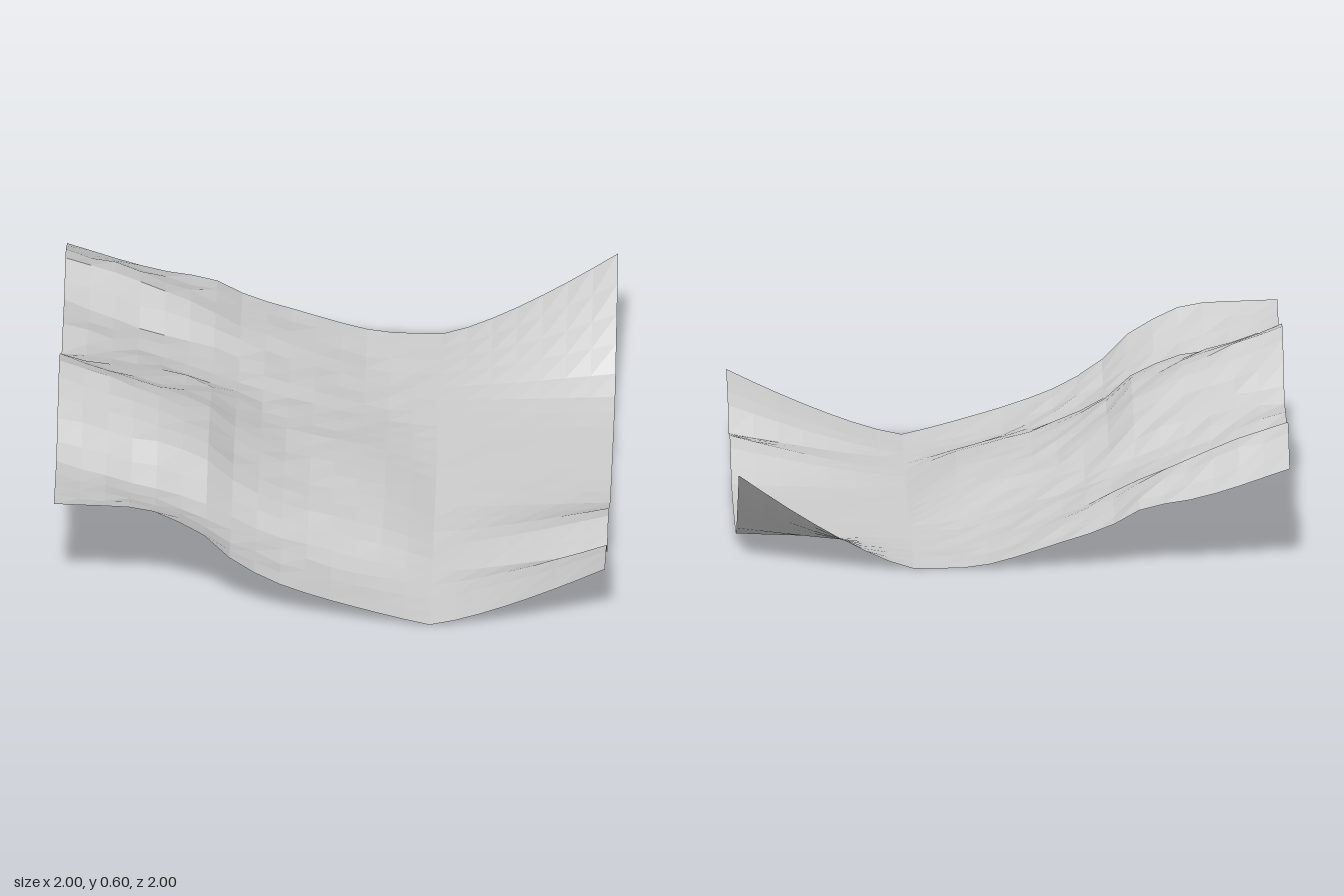
import * as THREE from 'three';

const FLOOR = 0.012, FOOT = 0.36;

// Cross-sections: hillside heights at each x station, and the right rim height
const xs = [-1, -0.7, -0.45, -0.36, -0.15, 0.18, FOOT];
const sections = [
  { z: -1.0, hill: [0.38, 0.28, 0.225, 0.175, 0.1, 0.015], rim: 0.365 },
  { z: -0.73, hill: [0.485, 0.38, 0.25, 0.2, 0.115, 0.015], rim: 0.15 },
  { z: -0.55, hill: [0.42, 0.3, 0.23, 0.185, 0.12, 0.02], rim: 0.035 },
  { z: -0.36, hill: [0.43, 0.32, 0.215, 0.18, 0.125, 0.035], rim: 0.02 },
  { z: -0.18, hill: [0.415, 0.37, 0.285, 0.225, 0.14, 0.065], rim: 0.02 },
  { z: 0.0, hill: [0.53, 0.425, 0.335, 0.26, 0.165, 0.085], rim: 0.02 },
  { z: 0.18, hill: [0.615, 0.49, 0.37, 0.285, 0.175, 0.095], rim: 0.035 },
  { z: 0.45, hill: [0.535, 0.455, 0.365, 0.28, 0.17, 0.085], rim: 0.15 },
  { z: 0.64, hill: [0.465, 0.37, 0.28, 0.23, 0.145, 0.05], rim: 0.11 },
  { z: 0.73, hill: [0.47, 0.385, 0.285, 0.23, 0.14, 0.04], rim: 0.195 },
  { z: 1.0, hill: [0.51, 0.495, 0.38, 0.285, 0.165, 0.06], rim: 0.26 },
];
const zs = sections.map((s) => s.z);

// Smooth curve through unevenly spaced points, without overshoot
function interpolate(ts, vs, t) {
  const last = ts.length - 1;
  let i = 0;
  while (i < last - 1 && t > ts[i + 1]) i++;
  const secant = (k) => (vs[k + 1] - vs[k]) / (ts[k + 1] - ts[k]);
  const slope = (k) => {
    if (k === 0) return secant(0);
    if (k === last) return secant(last - 1);
    const a = secant(k - 1), b = secant(k);
    return a * b <= 0 ? 0 : (2 * a * b) / (a + b);
  };
  const d = ts[i + 1] - ts[i];
  const u = (t - ts[i]) / d, u2 = u * u, u3 = u2 * u;
  return (2 * u3 - 3 * u2 + 1) * vs[i] + (u3 - 2 * u2 + u) * d * slope(i)
    + (3 * u2 - 2 * u3) * vs[i + 1] + (u3 - u2) * d * slope(i + 1);
}

// Height of one section: hillside left of its foot, curved bank to the right
function sectionHeight({ hill, rim }, x) {
  if (x < FOOT) return interpolate(xs, [...hill, FLOOR], x);
  return FLOOR + (rim - FLOOR) * ((x - FOOT) / (1 - FOOT)) ** 1.3;
}

// Seeded random numbers for the rough rock facets
function seeded(seed) {
  return () => {
    seed = (seed * 16807) % 2147483647;
    return seed / 2147483647;
  };
}

export function createModel() {
  const group = new THREE.Group();
  group.name = 'terrain';

  const stone = new THREE.MeshStandardMaterial({ color: 0xcccccc, flatShading: true, side: THREE.DoubleSide });
  stone.name = 'stone grey';

  // Square grid lifted into a hillside, a valley floor and a far corner rise
  const cells = 22;
  const geometry = new THREE.PlaneGeometry(2, 2, cells, cells).rotateX(-Math.PI / 2);
  const p = geometry.attributes.position;
  const random = seeded(77);
  let lowest = Infinity;
  for (let i = 0; i < p.count; i++) {
    const x = p.getX(i), z = p.getZ(i);
    const h = interpolate(zs, sections.map((s) => sectionHeight(s, x)), z);
    // roughness fades out on the valley floor, the right bank and the rim
    const onSlope = THREE.MathUtils.clamp((FOOT - x) / 0.6, 0, 1);
    const inside = Math.max(Math.abs(x), Math.abs(z)) > 0.99 ? 0.2 : 1;
    const y = h + (random() - 0.5) * (0.002 + 0.016 * onSlope) * inside;
    p.setY(i, y);
    lowest = Math.min(lowest, y);
  }
  geometry.translate(0, -lowest, 0);
  geometry.computeVertexNormals();

  const ground = new THREE.Mesh(geometry, stone);
  ground.name = 'hillsideAndValley';
  group.add(ground);
  return group;
}
